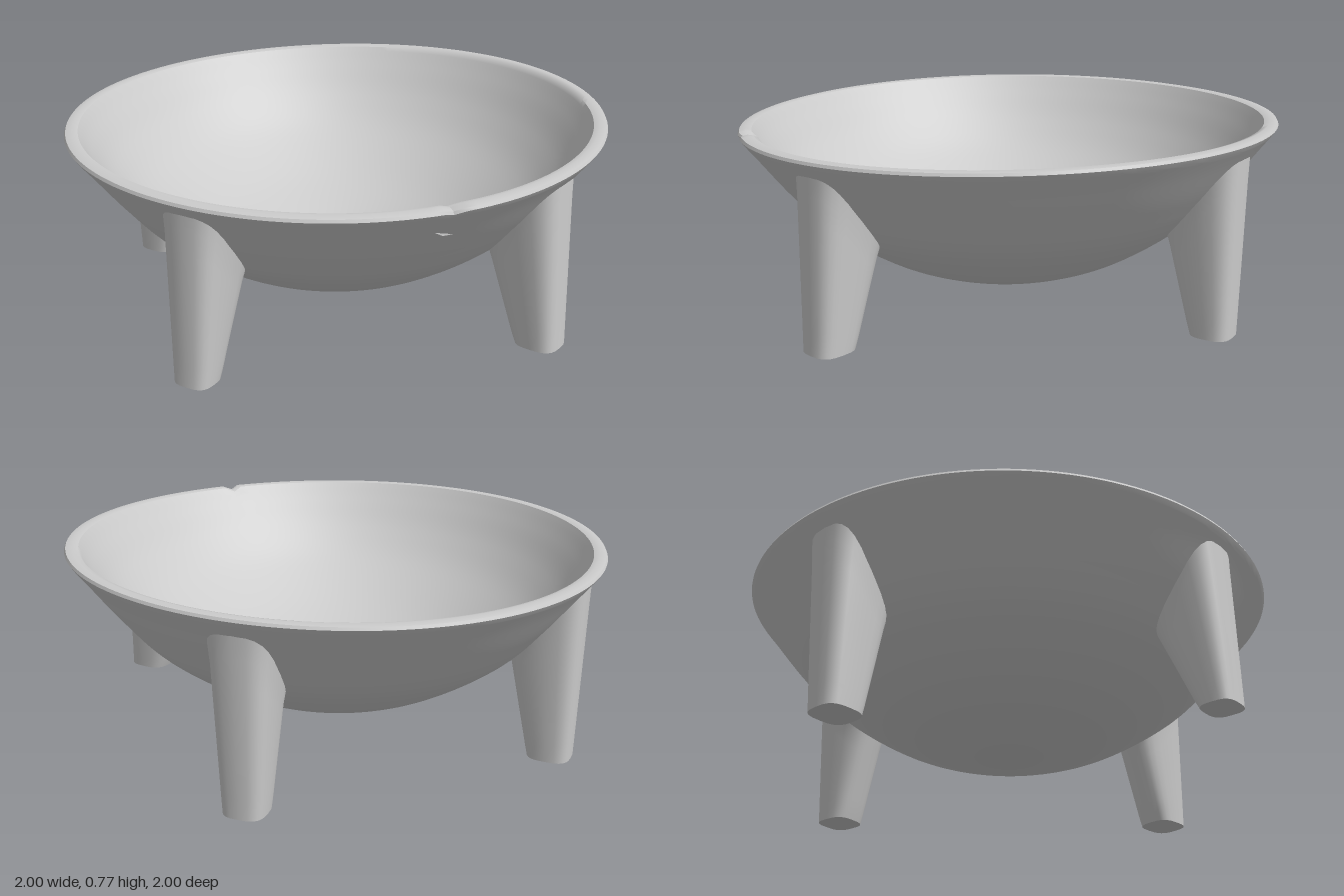
import * as THREE from 'three';
import { mergeVertices, toCreasedNormals } from 'three/addons/utils/BufferGeometryUtils.js';

const material = new THREE.MeshStandardMaterial({ color: 0xcccccc });
const curve = (pts) => new THREE.SplineCurve(pts.map(([r, y]) => new THREE.Vector2(r, y)));

const outer = curve([[0, 0.11], [0.14, 0.12], [0.3, 0.16], [0.5, 0.24], [0.71, 0.38], [0.84, 0.52], [0.95, 0.66], [0.99, 0.71]]).getPoints(40);
const inner = curve([[0.94, 0.72], [0.9, 0.66], [0.82, 0.55], [0.7, 0.43], [0.5, 0.3], [0.3, 0.22], [0.14, 0.18], [0, 0.17]]).getPoints(36);

// Height of the underside at a given radius
function undersideY(r) {
  const i = Math.min(Math.max(outer.findIndex((p) => p.x >= r), 1), outer.length - 1);
  const a = outer[i - 1], b = outer[i];
  return a.y + (b.y - a.y) * (r - a.x) / (b.x - a.x);
}

// Shallow bowl with a thin lip, slightly tilted and uneven, with a nick in the rim
function makeBowl() {
  const rim = [[1, 0.725], [0.995, 0.735], [0.97, 0.74], [0.95, 0.735]].map(([r, y]) => new THREE.Vector2(r, y));
  let geo = new THREE.LatheGeometry([...outer, ...rim, ...inner], 160);
  geo.deleteAttribute('uv');
  geo.deleteAttribute('normal');
  geo = mergeVertices(geo, 1e-4);
  const p = geo.attributes.position;
  const nickAngle = Math.atan2(0.84, 0.49);
  for (let i = 0; i < p.count; i++) {
    const x = p.getX(i), y = p.getY(i), z = p.getZ(i);
    const r = Math.hypot(x, z), a = Math.atan2(x, z);
    const nick = r > 0.93 && Math.abs(a - nickAngle) < 0.02 ? 0.02 : 0;
    const lift = (-0.024 * z + 0.006 * Math.cos(2 * a + 1)) * r * r;
    p.setXYZ(i, x * (1 - nick), y + lift - nick * 0.7, z * (1 - nick) - 0.008 * r * r);
  }
  return toCreasedNormals(geo, 0.7);
}

// Tapered leg pointing outward along +z, its top cut to follow the underside
function makeLeg({ y0, near, far, width }) {
  const sides = 24, rows = 8, pos = [], index = [];
  const squircle = (v) => Math.sign(v) * Math.abs(v) ** 0.65;
  for (let j = 0; j <= rows; j++) {
    const t = j / rows;
    for (let i = 0; i < sides; i++) {
      const a = i / sides * Math.PI * 2;
      const u = squircle(Math.sin(a)), v = squircle(Math.cos(a));
      // Outer face is a little wider than the inner one at the top
      const topX = u * (0.105 + 0.01 * v), topZ = 0.83 + 0.13 * v;
      const topY = undersideY(Math.hypot(topX, topZ)) + 0.015;
      const flare = t > 0.95 ? 1.04 : 1;
      const lowX = u * width / 2, lowZ = (near + far) / 2 + v * (far - near) / 2;
      pos.push((lowX + (topX - lowX) * t) * flare, y0 + (topY - y0) * t, lowZ + (topZ - lowZ) * t);
    }
  }
  for (let j = 0; j < rows; j++) {
    for (let i = 0; i < sides; i++) {
      const a = j * sides + i, b = j * sides + (i + 1) % sides;
      index.push(a, b, b + sides, a, b + sides, a + sides);
    }
  }
  // Slightly domed foot
  const foot = pos.length / 3;
  pos.push(0, y0, (near + far) / 2);
  for (let i = 0; i < sides; i++) {
    pos[i * 3 + 1] += 0.006;
    index.push(foot, (i + 1) % sides, i);
  }
  const geo = new THREE.BufferGeometry();
  geo.setAttribute('position', new THREE.Float32BufferAttribute(pos, 3));
  geo.setIndex(index);
  return toCreasedNormals(geo, 0.8);
}

export function createModel() {
  const model = new THREE.Group();
  model.name = 'footedBowl';

  const bowl = new THREE.Mesh(makeBowl(), material);
  bowl.name = 'bowl';
  model.add(bowl);

  // Four legs of slightly different length and lean
  const legs = [
    { name: 'frontLeg', angle: 0.16, y0: 0.05, near: 0.85, far: 0.98, width: 0.14 },
    { name: 'leftLeg', angle: Math.PI / 2 + 0.05, y0: 0.05, near: 0.82, far: 0.98, width: 0.15 },
    { name: 'backLeg', angle: Math.PI + 0.21, y0: 0.03, near: 0.8, far: 0.95, width: 0.15 },
    { name: 'rightLeg', angle: -Math.PI / 2 + 0.14, y0: 0, near: 0.78, far: 0.94, width: 0.15 },
  ];
  for (const spec of legs) {
    const leg = new THREE.Mesh(makeLeg(spec), material);
    leg.name = spec.name;
    leg.rotation.y = spec.angle;
    model.add(leg);
  }
  return model;
}
